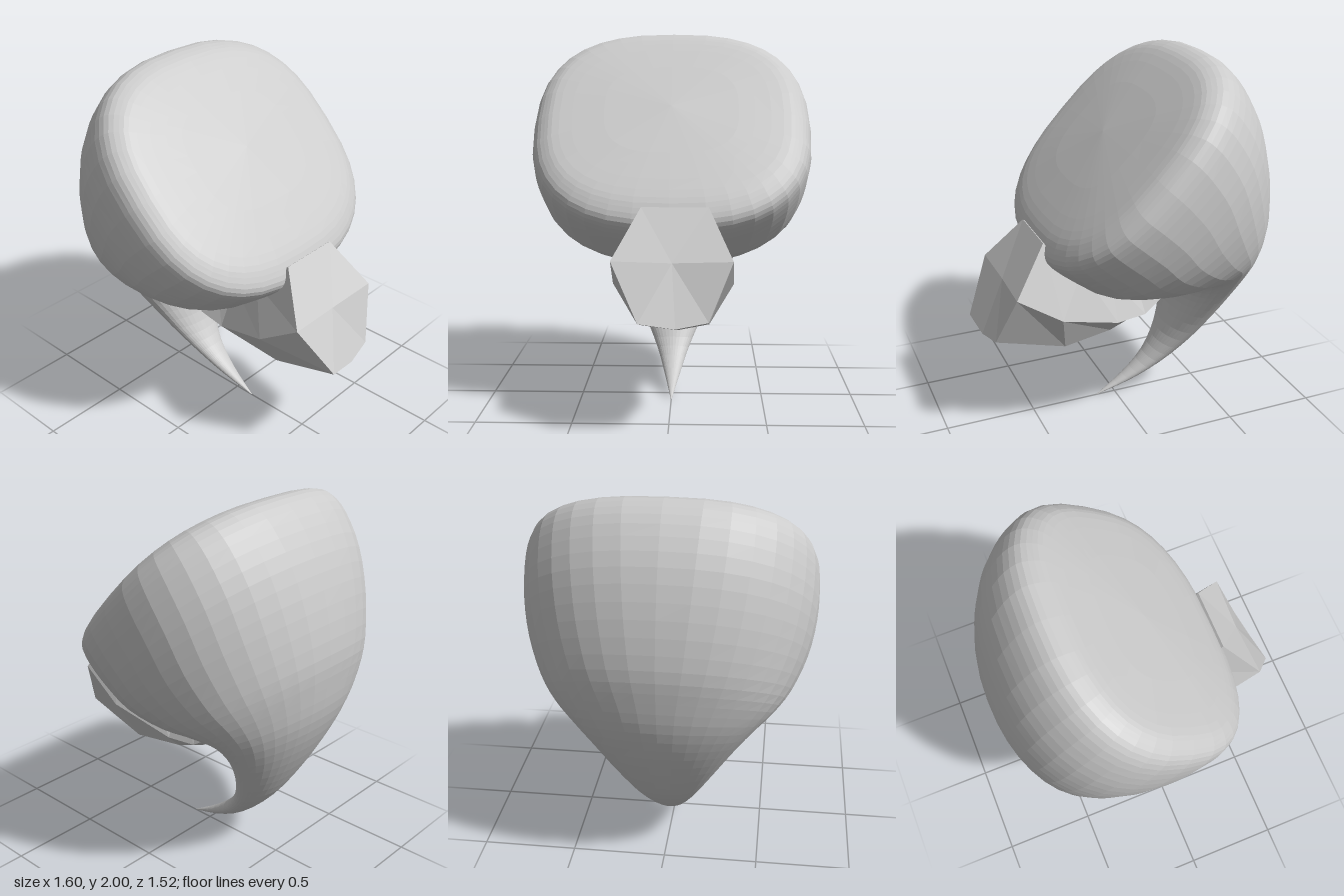
import * as THREE from 'three';

// Skin a closed solid through rings that all have the same number of points
function loft(rings, frontCentre, backCentre) {
  const n = rings[0].length, pos = rings.flat(2), idx = [];
  const total = rings.length * n;
  pos.push(...frontCentre, ...backCentre);
  for (let i = 0; i < n; i++) {
    const k = (i + 1) % n;
    for (let j = 0; j < rings.length - 1; j++) {
      const a = j * n + i, b = a + n, c = j * n + k, d = c + n;
      idx.push(a, b, c, c, b, d);
    }
    idx.push(total, i, k, total + 1, total - n + k, total - n + i);
  }
  const g = new THREE.BufferGeometry();
  g.setAttribute('position', new THREE.Float32BufferAttribute(pos, 3));
  g.setIndex(idx);
  g.computeVertexNormals();
  return g;
}

// Curved horn: outer edge x,y / inner edge x,y / half width, from face to tip
const stations = [
  [-0.15, 1.815, 0.27, 1.375, 0.36],
  [-0.3, 1.945, 0.41, 1.2, 0.6],
  [-0.38, 1.99, 0.465, 1.11, 0.68],
  [-0.47, 1.995, 0.485, 1.03, 0.735],
  [-0.57, 1.92, 0.44, 0.96, 0.758],
  [-0.68, 1.75, 0.32, 0.86, 0.752],
  [-0.76, 1.52, 0.2, 0.78, 0.715],
  [-0.80, 1.28, 0.0, 0.745, 0.64],
  [-0.79, 1.10, -0.2, 0.755, 0.555],
  [-0.76, 0.92, -0.29, 0.74, 0.46],
  [-0.69, 0.73, -0.33, 0.66, 0.36],
  [-0.58, 0.52, -0.325, 0.53, 0.26],
  [-0.45, 0.33, -0.275, 0.36, 0.165],
  [-0.28, 0.17, -0.185, 0.22, 0.09],
  [-0.1, 0.07, -0.05, 0.105, 0.043],
  [0.113, 0, 0.113, 0.003, 0.002],
];

function hornGeometry(rows = 45, sides = 36) {
  const outer = new THREE.CatmullRomCurve3(
    stations.map(s => new THREE.Vector3(s[0], s[1], s[4])), false, 'catmullrom');
  const inner = new THREE.CatmullRomCurve3(
    stations.map(s => new THREE.Vector3(s[2], s[3], s[4])), false, 'catmullrom');
  const rings = [];
  for (let j = 0; j <= rows; j++) {
    const t = j / rows, a = outer.getPoint(t), b = inner.getPoint(t);
    // Rounded rectangle at the face, ellipse at the tip
    const power = 2 / THREE.MathUtils.lerp(2.9, 2, Math.min(1, t * 1.8));
    const ring = [];
    for (let i = 0; i < sides; i++) {
      const ang = (i / sides) * Math.PI * 2, c = Math.cos(ang), s = Math.sin(ang);
      const u = Math.sign(c) * Math.abs(c) ** power;
      const w = Math.sign(s) * Math.abs(s) ** power;
      ring.push([
        (a.x + b.x) / 2 + (a.x - b.x) / 2 * u,
        (a.y + b.y) / 2 + (a.y - b.y) / 2 * u,
        a.z * w,
      ]);
    }
    rings.push(ring);
  }
  return loft(rings, [0.065, 1.61, 0], [0.113, 0, 0]);
}

// Faceted block: top, middle and bottom x,y of each ring, then width scale
const blockRings = [
  [0.475, 1.12, 0.66, 0.88, 0.78, 0.59, 1],
  [0.27, 0.93, 0.42, 0.72, 0.4, 0.485, 1.03],
  [0.08, 0.82, 0.08, 0.6, 0.12, 0.5, 0.78],
  [-0.06, 0.8, -0.09, 0.61, -0.05, 0.56, 0.72],
  [-0.27, 0.78, -0.29, 0.74, -0.31, 0.72, 0.6],
];

function blockGeometry() {
  const rings = blockRings.map(([tx, ty, mx, my, bx, by, w]) => [
    [tx, ty, -0.2 * w], [tx, ty, 0.14 * w],
    [mx, my, 0.28 * w],
    [bx + 0.02, by + 0.015, 0.14 * w], [bx, by - 0.015, -0.04 * w], [bx - 0.03, by + 0.01, -0.2 * w],
    [mx, my, -0.32 * w],
  ]);
  return loft(rings, [0.65, 0.87, -0.02], [-0.29, 0.75, -0.02]);
}

export function createModel() {
  const group = new THREE.Group();
  const material = new THREE.MeshStandardMaterial({ color: 0xcccccc, flatShading: true });
  const add = (name, geometry) => {
    const mesh = new THREE.Mesh(geometry, material);
    mesh.name = name;
    group.add(mesh);
  };
  add('curvedHorn', hornGeometry());
  add('facetedBlock', blockGeometry());
  return group;
}
